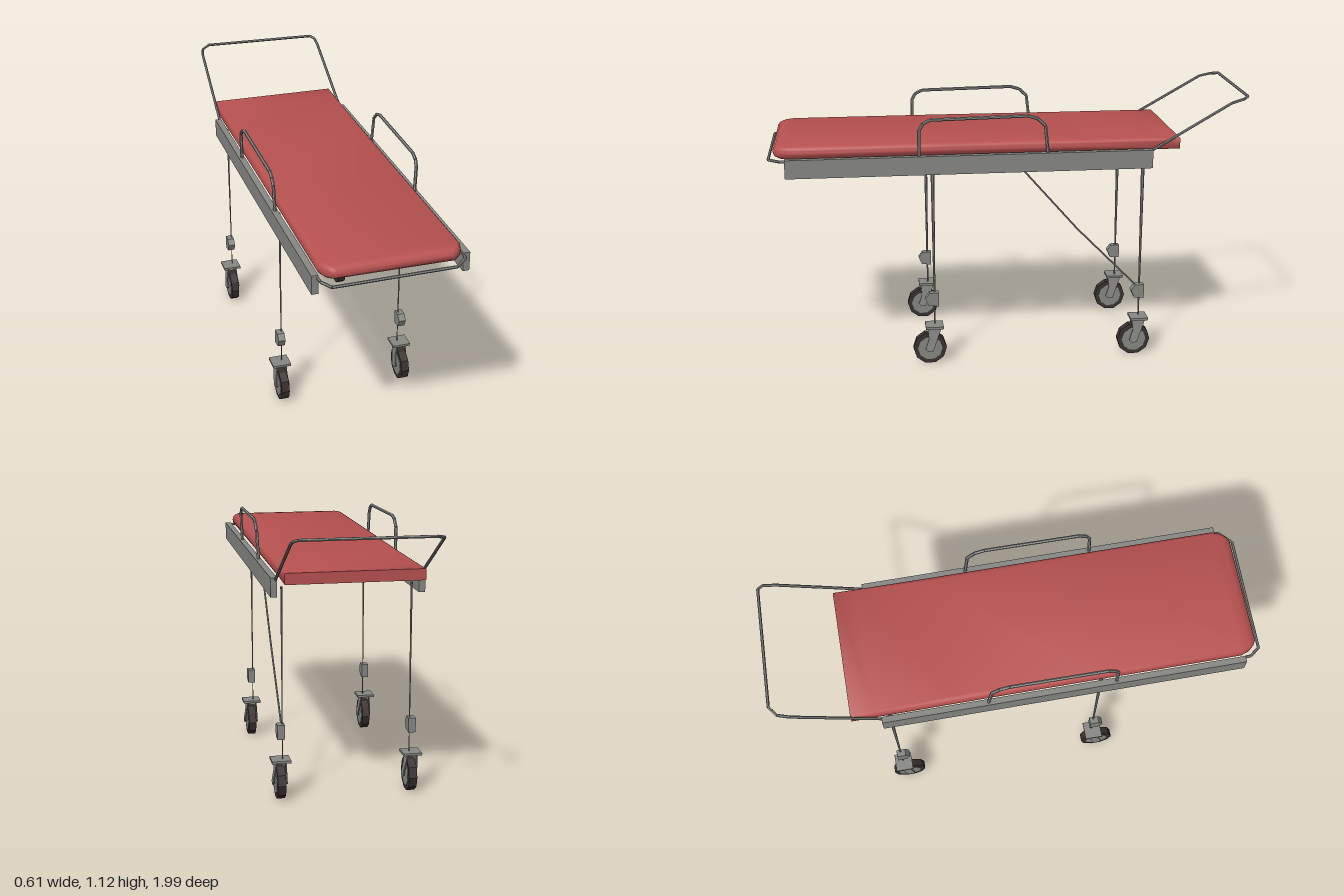
import * as THREE from 'three';
import { toCreasedNormals } from 'three/addons/utils/BufferGeometryUtils.js';

export function createModel() {
  const model = new THREE.Group();
  model.name = 'wheeledStretcher';
  const mat = (name, color, flatShading = false) => {
    const m = new THREE.MeshStandardMaterial({ color });
    m.name = name;
    m.flatShading = flatShading;
    return m;
  };
  const red = mat('redVinyl', 0xb85151);
  const steel = mat('greySteel', 0x888885, true);
  const rubber = mat('darkRubber', 0x3a3231, true);

  const add = (parent, name, geometry, material, x = 0, y = 0, z = 0) => {
    const mesh = new THREE.Mesh(geometry, material);
    mesh.name = name;
    mesh.position.set(x, y, z);
    parent.add(mesh);
    return mesh;
  };

  // Straight rods joined end to end along a list of points
  const bentRod = (name, points, r, sides = 6) => {
    const group = new THREE.Group();
    group.name = name;
    const pts = points.map((p) => new THREE.Vector3(...p));
    for (let i = 1; i < pts.length; i++) {
      const dir = pts[i].clone().sub(pts[i - 1]);
      const mid = pts[i].clone().add(pts[i - 1]).multiplyScalar(0.5);
      const rod = add(group, name + 'Section', new THREE.CylinderGeometry(r, r, dir.length(), sides), steel, mid.x, mid.y, mid.z);
      rod.quaternion.setFromUnitVectors(new THREE.Vector3(0, 1, 0), dir.normalize());
    }
    model.add(group);
  };

  // Mattress: rounded cross-sections along z, square at the head, rounded at the foot
  const sections = [ // z, half width, bottom, top, corner radius
    [-0.7, 0.275, 0.905, 0.95, 0.004],
    [-0.6, 0.276, 0.904, 0.952, 0.012],
    [-0.3, 0.277, 0.902, 0.954, 0.022],
    [0.3, 0.277, 0.901, 0.957, 0.026],
    [0.9, 0.277, 0.901, 0.957, 0.026],
    [0.935, 0.265, 0.903, 0.955, 0.025],
    [0.957, 0.245, 0.909, 0.949, 0.019],
    [0.967, 0.228, 0.919, 0.938, 0.009],
  ];
  const steps = 5, ring = 4 * (steps + 1);
  const pos = [], index = [];
  for (const [z, w, y0, y1, r] of sections) {
    for (let c = 0; c < 4; c++) {
      for (let s = 0; s <= steps; s++) {
        const a = (c + s / steps) * Math.PI / 2;
        const cx = (c === 0 || c === 3 ? 1 : -1) * (w - r);
        const cy = c < 2 ? y1 - r : y0 + r;
        pos.push(cx + r * Math.cos(a), cy + r * Math.sin(a), z);
      }
    }
  }
  for (let i = 0; i < sections.length - 1; i++) {
    for (let j = 0; j < ring; j++) {
      const a = i * ring + j, b = i * ring + (j + 1) % ring;
      index.push(a, b, b + ring, a, b + ring, a + ring);
    }
  }
  const last = (sections.length - 1) * ring;
  for (let j = 1; j < ring - 1; j++) {
    index.push(0, j + 1, j, last, last + j, last + j + 1);
  }
  const pad = new THREE.BufferGeometry();
  pad.setAttribute('position', new THREE.Float32BufferAttribute(pos, 3));
  pad.setIndex(index);
  add(model, 'mattress', toCreasedNormals(pad, 0.8), red, -0.003);

  // Push handle at the head and bumper bar at the foot
  bentRod('pushHandle', [
    [-0.287, 0.9, -0.57], [-0.281, 1.1, -0.92], [-0.27, 1.112, -0.965], [-0.235, 1.12, -0.993],
    [0.265, 1.118, -0.98], [0.281, 1.11, -0.96], [0.281, 1.095, -0.91], [0.287, 0.9, -0.57],
  ], 0.006);
  bentRod('footBar', [
    [-0.285, 0.9, 0.9], [-0.28, 0.897, 0.945], [-0.25, 0.892, 0.985],
    [0.23, 0.898, 0.987], [0.28, 0.9, 0.94], [0.285, 0.9, 0.9],
  ], 0.006);

  // Clamp outline in (z, y)
  const clampShape = new THREE.Shape([
    [-0.02, -0.03], [0.022, -0.026], [0.036, 0.006], [0.018, 0.03], [-0.02, 0.03],
  ].map(([z, y]) => new THREE.Vector2(-z, y)));
  const clampGeo = new THREE.ExtrudeGeometry(clampShape, { depth: 0.03, bevelEnabled: false });
  clampGeo.translate(0, 0, -0.015).rotateY(Math.PI / 2);

  // Fork cheek outline in (z, y), trailing away from the swivel
  const forkShape = new THREE.Shape([
    [-0.03, 0.16], [0.03, 0.16], [0.025, 0.11], [0.04, 0.065], [0.03, 0.055], [0.008, 0.055], [-0.012, 0.11],
  ].map(([z, y]) => new THREE.Vector2(-z, y - 0.16)));
  const forkGeo = new THREE.ExtrudeGeometry(forkShape, { depth: 0.005, bevelEnabled: false });
  forkGeo.translate(0, 0, -0.0025).rotateY(Math.PI / 2);

  const tyreGeo = new THREE.CylinderGeometry(0.07, 0.07, 0.033, 10).rotateZ(Math.PI / 2);
  const hubGeo = new THREE.CylinderGeometry(0.052, 0.052, 0.038, 10).rotateZ(Math.PI / 2);
  const axleGeo = new THREE.CylinderGeometry(0.009, 0.009, 0.056, 6).rotateZ(Math.PI / 2);

  for (const side of [-1, 1]) {
    // Side beam and hand guard
    add(model, 'sideBeam', new THREE.BoxGeometry(0.026, 0.077, 1.5), steel, side * 0.294, 0.873, 0.17);
    bentRod('sideGuard', [
      [side * 0.292, 0.9, 0.382], [side * 0.297, 1.02, 0.38], [side * 0.298, 1.045, 0.365],
      [side * 0.298, 1.06, 0.335], [side * 0.298, 1.067, -0.06], [side * 0.298, 1.055, -0.1],
      [side * 0.297, 1.025, -0.132], [side * 0.292, 0.9, -0.146],
    ], 0.007);

    for (const z of [0.33, -0.545]) {
      // Slim tapered leg with its clamp
      const leg = add(model, 'leg', new THREE.CylinderGeometry(0.008, 0.003, 0.7, 6), steel, side * 0.26, 0.52, z - 0.003);
      leg.scale.x = 0.5;
      add(model, 'legClamp', clampGeo, steel, side * 0.267, 0.285, z);

      // Swivel caster
      const caster = new THREE.Group();
      caster.name = 'caster';
      caster.position.set(side * 0.268, 0, z);
      model.add(caster);
      add(caster, 'casterPlate', new THREE.BoxGeometry(0.077, 0.01, 0.075), steel, 0, 0.166, 0);
      for (const s of [-1, 1]) {
        add(caster, 'forkCheek', forkGeo, steel, s * 0.018, 0.163, 0).rotation.z = s * 0.1;
      }
      add(caster, 'tyre', tyreGeo, rubber, 0, 0.07, 0.02);
      add(caster, 'hub', hubGeo, steel, 0, 0.07, 0.02);
      add(caster, 'axle', axleGeo, steel, 0, 0.066, 0.025);
    }
  }

  // Diagonal brace on one rear leg
  bentRod('diagonalBrace', [[0.262, 0.85, -0.03], [0.262, 0.57, -0.275], [0.262, 0.3, -0.54]], 0.004, 5);

  return model;
}
